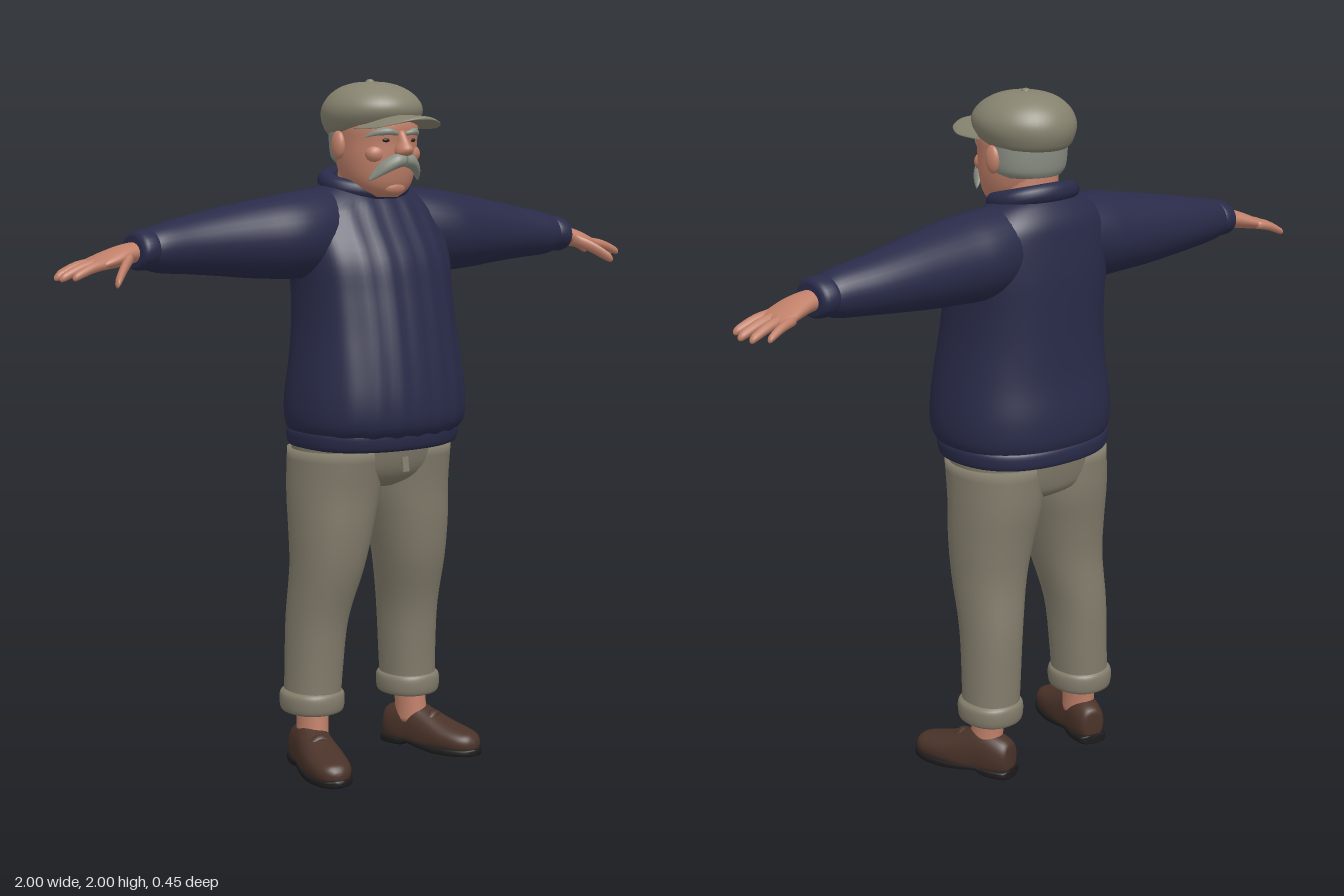
import * as THREE from 'three';

const flat = (name, color) => Object.assign(new THREE.MeshStandardMaterial({ color }), { name });

// Smooth skin through rows of [position along axis, centre A, centre B, radius A, radius B].
// Axis 1 (y): A = x, B = z.  Axis 0 (x): A = z, B = y.  Axis 2 (z): A = y, B = x.
function loft(axis, rows, { power = 2, segs = 32, steps = 4, bend } = {}) {
  const spline = new THREE.CubicInterpolant(rows.map((_, i) => i), rows.flat(), 5, new Float32Array(5));
  const n = (rows.length - 1) * steps, pos = [], index = [];
  const a = (axis + 2) % 3, b = (axis + 1) % 3;
  const soft = v => Math.sign(v) * Math.abs(v) ** (2 / power);
  const put = (t, u, v) => {
    const p = new THREE.Vector3().setComponent(axis, t).setComponent(a, u).setComponent(b, v);
    if (bend) bend(p);
    pos.push(p.x, p.y, p.z);
  };
  for (let i = 0; i <= n; i++) {
    const [t, ca, cb, ra, rb] = spline.evaluate(i / steps);
    for (let j = 0; j < segs; j++) {
      const w = j / segs * Math.PI * 2;
      put(t, ca + Math.max(ra, 0.001) * soft(Math.cos(w)), cb + Math.max(rb, 0.001) * soft(Math.sin(w)));
      if (i < n) {
        const q = i * segs + j, r = i * segs + (j + 1) % segs;
        index.push(q, q + segs, r, r, q + segs, r + segs);
      }
    }
  }
  // End caps
  const first = rows[0], last = rows[rows.length - 1], c = pos.length / 3;
  put(first[0], first[1], first[2]);
  put(last[0], last[1], last[2]);
  for (let j = 0; j < segs; j++) {
    const k = (j + 1) % segs;
    index.push(c, j, k, c + 1, n * segs + k, n * segs + j);
  }
  const g = new THREE.BufferGeometry();
  g.setAttribute('position', new THREE.Float32BufferAttribute(pos, 3));
  g.setIndex(index);
  g.computeVertexNormals();
  return g;
}

function mirrored(geometry) {
  const g = geometry.clone().scale(-1, 1, 1), ix = g.index.array;
  for (let i = 0; i < ix.length; i += 3) [ix[i], ix[i + 1]] = [ix[i + 1], ix[i]];
  g.computeVertexNormals();
  return g;
}

const ball = (x, y, z, rx, ry, rz) => new THREE.SphereGeometry(1, 24, 16).scale(rx, ry, rz).translate(x, y, z);

// Tapered round finger from base to tip, running along x
function finger(from, to, r) {
  const rows = [[0, 1], [0.45, 1], [0.85, 0.85], [0.96, 0.6], [1, 0.15]].map(([t, k]) => {
    const p = from.map((v, i) => v + (to[i] - v) * t);
    return [p[0], p[2], p[1] + Math.sin(t * Math.PI) * 0.006, r * k, r * k];
  });
  return loft(0, rows, { segs: 12, steps: 3 });
}

export function createModel() {
  const model = new THREE.Group();
  const skin = flat('skin', 0xc08069), wool = flat('navy wool', 0x292b49);
  const cloth = flat('trouser cloth', 0x827c6b), tweed = flat('cap cloth', 0x86826f);
  const hair = flat('grey hair', 0x8a8f84), leather = flat('brown leather', 0x4a3329);
  const rubber = flat('black sole', 0x1d1b1b), dark = flat('eye', 0x2a2220);

  const add = (name, geometry, material) => {
    const mesh = new THREE.Mesh(geometry, material);
    mesh.name = name;
    model.add(mesh);
  };
  const pair = (name, geometry, material) => {
    add('left' + name, geometry, material);
    add('right' + name, mirrored(geometry), material);
  };

  // Sweater body with faint knit ribs on the front
  add('sweaterBody', loft(1, [
    [0.99, 0, 0, 0.245, 0.2], [1.03, 0, 0.006, 0.265, 0.222], [1.1, 0, 0.007, 0.267, 0.225],
    [1.2, 0, 0.008, 0.255, 0.213], [1.3, 0, 0.002, 0.243, 0.203], [1.4, 0, -0.008, 0.24, 0.193],
    [1.5, 0, -0.02, 0.245, 0.18], [1.6, 0, -0.045, 0.24, 0.145], [1.65, 0, -0.055, 0.21, 0.125],
    [1.69, 0, -0.06, 0.16, 0.095], [1.715, 0, -0.06, 0.1, 0.07],
  ], { power: 2.3, segs: 96, bend: p => { if (p.z > 0.05) p.z += 0.0025 * Math.cos(p.x * 90); } }), wool);
  add('sweaterHem', loft(1, [
    [0.955, 0, -0.005, 0.235, 0.19], [0.965, 0, -0.005, 0.252, 0.206],
    [1.0, 0, -0.003, 0.257, 0.21], [1.015, 0, 0, 0.245, 0.2],
  ], { power: 2.3, segs: 64 }), wool);
  add('sweaterCollar', new THREE.TorusGeometry(0.1, 0.024, 16, 48).rotateX(Math.PI / 2)
    .scale(1.15, 1.1, 0.95).rotateX(0.25).translate(0, 1.705, -0.045), wool);

  // Sleeves and cuffs
  pair('Sleeve', loft(0, [
    [0.05, -0.055, 1.59, 0.09, 0.105], [0.13, -0.055, 1.577, 0.112, 0.119], [0.22, -0.05, 1.565, 0.127, 0.124],
    [0.3, -0.046, 1.56, 0.126, 0.118], [0.4, -0.054, 1.555, 0.112, 0.107], [0.5, -0.06, 1.551, 0.099, 0.093],
    [0.6, -0.06, 1.546, 0.086, 0.079], [0.7, -0.052, 1.54, 0.071, 0.065], [0.745, -0.05, 1.537, 0.058, 0.048],
  ]), wool);
  pair('SleeveCuff', loft(0, [
    [0.72, -0.05, 1.54, 0.055, 0.045], [0.73, -0.05, 1.54, 0.067, 0.054],
    [0.765, -0.048, 1.537, 0.067, 0.053], [0.778, -0.048, 1.535, 0.052, 0.042],
  ]), wool);

  // Hands
  pair('Palm', loft(0, [
    [0.75, -0.048, 1.535, 0.036, 0.027], [0.79, -0.048, 1.531, 0.042, 0.028], [0.83, -0.049, 1.522, 0.053, 0.027],
    [0.87, -0.055, 1.511, 0.06, 0.022], [0.9, -0.06, 1.502, 0.058, 0.016], [0.91, -0.06, 1.5, 0.05, 0.008],
  ]), skin);
  [
    ['Little', [0.87, 1.507, -0.105], [0.965, 1.474, -0.128], 0.013],
    ['Ring', [0.88, 1.508, -0.078], [0.993, 1.47, -0.088], 0.0145],
    ['Middle', [0.88, 1.509, -0.047], [1.0, 1.47, -0.046], 0.015],
    ['Index', [0.87, 1.509, -0.015], [0.985, 1.474, -0.003], 0.0145],
    ['Thumb', [0.8, 1.522, -0.02], [0.895, 1.456, 0.065], 0.018],
  ].forEach(([name, from, to, r]) => pair(name + 'Finger', finger(from, to, r), skin));

  // Trousers: seat, legs and turn-ups
  add('trouserSeat', loft(1, [
    [0.835, 0, -0.025, 0.06, 0.09], [0.86, 0, -0.025, 0.17, 0.13], [0.9, 0, -0.02, 0.235, 0.15],
    [0.96, 0, -0.017, 0.247, 0.163], [1.0, 0, -0.015, 0.245, 0.165],
  ], { power: 2.3, segs: 48 }), cloth);
  pair('TrouserLeg', loft(1, [
    [0.18, 0.18, -0.062, 0.078, 0.086], [0.3, 0.175, -0.06, 0.08, 0.09], [0.45, 0.168, -0.052, 0.084, 0.099],
    [0.6, 0.152, -0.026, 0.1, 0.115], [0.72, 0.14, -0.022, 0.115, 0.13], [0.83, 0.128, -0.026, 0.126, 0.143],
    [0.95, 0.125, -0.018, 0.124, 0.155],
  ], { power: 2.2 }), cloth);
  pair('TrouserCuff', loft(1, [
    [0.168, 0.18, -0.062, 0.07, 0.078], [0.175, 0.18, -0.062, 0.086, 0.092], [0.2, 0.18, -0.062, 0.091, 0.097],
    [0.225, 0.18, -0.062, 0.089, 0.095], [0.236, 0.18, -0.062, 0.076, 0.085],
  ], { power: 2.2 }), cloth);
  add('trouserFly', new THREE.BoxGeometry(0.022, 0.07, 0.008).rotateX(-0.15).translate(0.008, 0.92, 0.136), cloth);

  // Ankles and shoes, toes turned outward
  pair('Ankle', loft(1, [
    [0.08, 0.188, -0.05, 0.045, 0.055], [0.13, 0.185, -0.053, 0.043, 0.053], [0.2, 0.182, -0.058, 0.045, 0.052],
  ]), skin);
  const placeShoe = g => g.rotateY(0.28).translate(0.195, 0, -0.045);
  pair('ShoeUpper', placeShoe(loft(2, [
    [-0.1, 0.06, 0, 0.025, 0.015], [-0.094, 0.06, 0, 0.048, 0.036], [-0.06, 0.06, 0, 0.064, 0.048],
    [0, 0.06, 0, 0.078, 0.052], [0.05, 0.05, 0, 0.07, 0.058], [0.12, 0.045, 0, 0.047, 0.062],
    [0.18, 0.04, 0, 0.036, 0.055], [0.212, 0.038, 0, 0.028, 0.038], [0.228, 0.035, 0, 0.012, 0.014],
  ], { power: 2.3, bend: p => { p.y = Math.max(p.y, 0.02); } })), leather);
  pair('ShoeTongue', placeShoe(loft(0, [
    [-0.052, 0.07, 0.055, 0.012, 0.006], [-0.035, 0.07, 0.09, 0.014, 0.01], [0, 0.07, 0.107, 0.016, 0.012],
    [0.035, 0.07, 0.09, 0.014, 0.01], [0.052, 0.07, 0.055, 0.012, 0.006],
  ], { segs: 16 })), leather);
  pair('ShoeSole', placeShoe(loft(2, [
    [-0.105, 0.014, 0, 0.014, 0.02], [-0.095, 0.014, 0, 0.014, 0.043], [-0.05, 0.014, 0, 0.014, 0.052],
    [-0.02, 0.015, 0, 0.013, 0.052], [0.0, 0.02, 0, 0.008, 0.052], [0.04, 0.017, 0, 0.01, 0.059],
    [0.1, 0.013, 0, 0.013, 0.066], [0.16, 0.013, 0, 0.013, 0.063], [0.21, 0.014, 0, 0.012, 0.045],
    [0.234, 0.016, 0, 0.01, 0.015],
  ], { power: 4 })), rubber);

  // Neck and head
  add('neck', loft(1, [
    [1.64, 0, -0.045, 0.095, 0.085], [1.72, 0, -0.03, 0.088, 0.08], [1.8, 0, -0.02, 0.088, 0.085],
  ]), skin);
  add('head', loft(1, [
    [1.668, 0, 0.058, 0.035, 0.03], [1.69, 0, 0.04, 0.075, 0.066], [1.72, 0, 0.02, 0.098, 0.098],
    [1.77, 0, 0.012, 0.11, 0.114], [1.82, 0, 0.01, 0.113, 0.118], [1.87, 0, 0.01, 0.114, 0.122],
    [1.92, 0, 0, 0.1, 0.11],
  ], { power: 2.2, segs: 40 }), skin);
  add('chin', ball(0, 1.695, 0.09, 0.04, 0.024, 0.025), skin);
  add('nose', loft(1, [
    [1.782, 0, 0.135, 0.012, 0.012], [1.79, 0, 0.138, 0.024, 0.026], [1.805, 0, 0.138, 0.023, 0.033],
    [1.825, 0, 0.13, 0.015, 0.026], [1.855, 0, 0.12, 0.012, 0.016],
  ], { segs: 20 }), skin);
  pair('Cheek', ball(0.06, 1.79, 0.088, 0.034, 0.028, 0.028), skin);
  pair('Ear', ball(0.117, 1.815, -0.01, 0.017, 0.04, 0.026).rotateY(0), skin);
  pair('Eye', ball(0.045, 1.828, 0.118, 0.013, 0.006, 0.007), dark);
  pair('Eyebrow', loft(0, [
    [0.015, 0.128, 1.847, 0.007, 0.006], [0.045, 0.128, 1.852, 0.011, 0.01],
    [0.075, 0.105, 1.849, 0.01, 0.009], [0.095, 0.08, 1.838, 0.004, 0.004],
  ], { segs: 14 }), hair);

  // Drooping moustache and back hair
  pair('Moustache', loft(0, [
    [0, 0.138, 1.773, 0.021, 0.018], [0.03, 0.136, 1.768, 0.022, 0.021], [0.06, 0.12, 1.75, 0.018, 0.019],
    [0.077, 0.104, 1.732, 0.013, 0.012], [0.088, 0.093, 1.718, 0.003, 0.004],
  ], { segs: 20 }), hair);
  add('hair', loft(1, [
    [1.765, 0, -0.025, 0.098, 0.088], [1.785, 0, -0.025, 0.113, 0.097],
    [1.83, 0, -0.025, 0.118, 0.102], [1.89, 0, -0.025, 0.118, 0.104],
  ]), hair);

  // Flat cap: crown, peak and button
  add('capCrown', loft(1, [
    [1.852, 0, -0.018, 0.117, 0.12], [1.865, 0, -0.012, 0.128, 0.138], [1.895, 0, -0.008, 0.14, 0.153],
    [1.925, 0, -0.008, 0.138, 0.15], [1.955, 0, -0.01, 0.118, 0.128], [1.978, 0, -0.012, 0.085, 0.092],
    [1.99, 0, -0.012, 0.045, 0.05], [1.993, 0, -0.012, 0.008, 0.008],
  ], { segs: 48, bend: p => { p.y += 0.08 * p.z * (2 - p.y) / 0.14; } }), tweed);
  add('capPeak', loft(2, [
    [0.05, 1.89, 0, 0.009, 0.11], [0.11, 1.89, 0, 0.009, 0.11], [0.16, 1.89, 0, 0.008, 0.104],
    [0.205, 1.889, 0, 0.007, 0.08], [0.226, 1.888, 0, 0.006, 0.048], [0.235, 1.887, 0, 0.003, 0.012],
  ], { bend: p => { p.y -= 2.5 * p.x * p.x; } }), tweed);
  add('capButton', ball(0, 1.992, -0.015, 0.013, 0.008, 0.013), tweed);

  return model;
}
